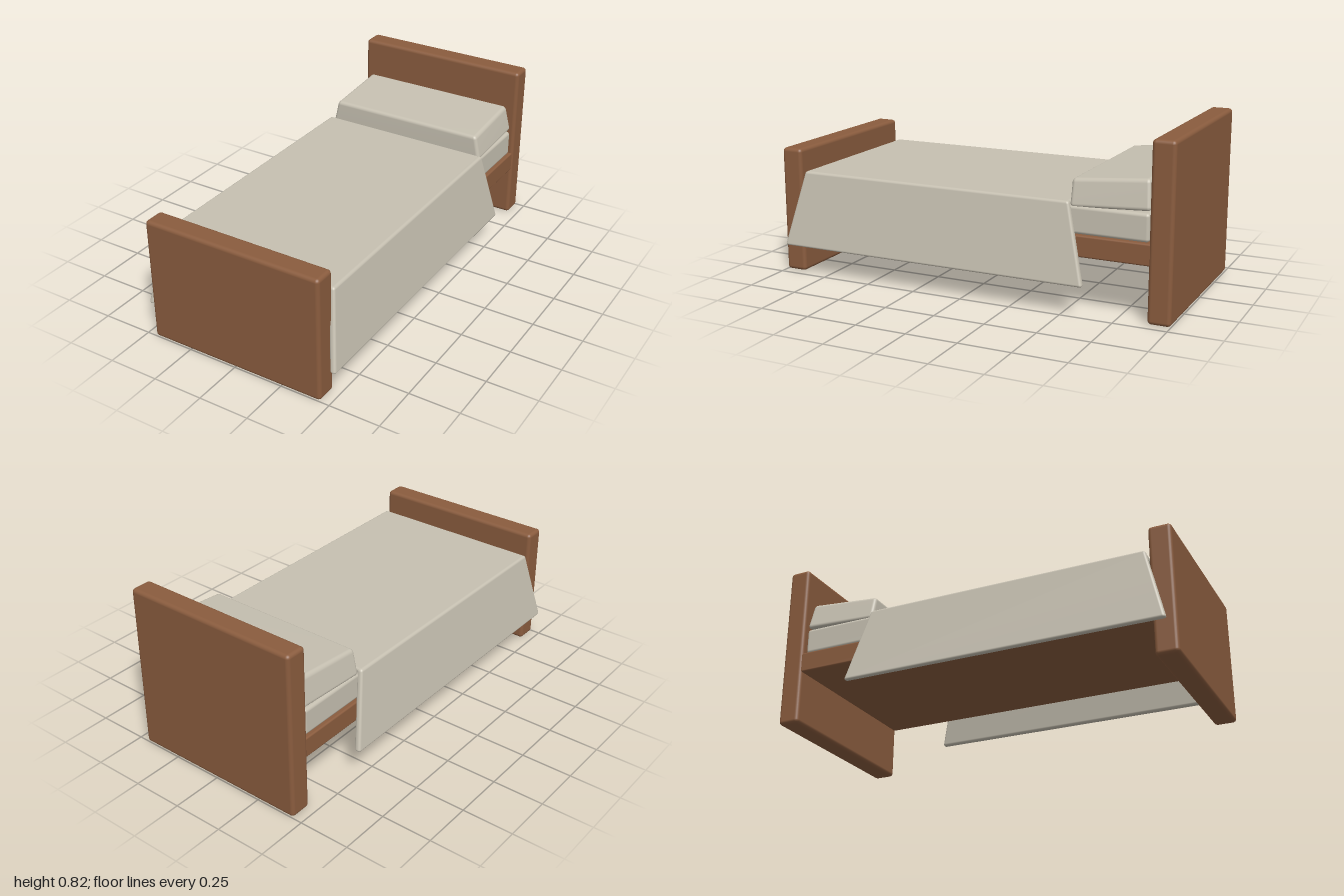
import * as THREE from 'three';
import { RoundedBoxGeometry } from 'three/addons/geometries/RoundedBoxGeometry.js';
import { mergeVertices } from 'three/addons/utils/BufferGeometryUtils.js';

export function createModel() {
  const bed = new THREE.Group();
  bed.name = 'bed';
  const wood = new THREE.MeshStandardMaterial({ name: 'wood', color: 0x8a5c3e });
  const cloth = new THREE.MeshStandardMaterial({ name: 'cloth', color: 0xc6c0b1 });

  // Rounded box given by its extents, optionally reshaped by a rule on each vertex
  function box(name, material, [x0, x1], [y0, y1], [z0, z1], radius, rule) {
    let geo = new RoundedBoxGeometry(x1 - x0, y1 - y0, z1 - z0, 3, radius);
    geo.translate((x0 + x1) / 2, (y0 + y1) / 2, (z0 + z1) / 2);
    if (rule) {
      const pos = geo.attributes.position;
      const v = new THREE.Vector3();
      for (let i = 0; i < pos.count; i++) {
        rule(v.fromBufferAttribute(pos, i));
        pos.setXYZ(i, v.x, v.y, v.z);
      }
      geo.deleteAttribute('normal');
      geo.deleteAttribute('uv');
      geo.clearGroups();
      geo = mergeVertices(geo, 1e-5);
      geo.computeVertexNormals();
    }
    const mesh = new THREE.Mesh(geo, material);
    mesh.name = name;
    bed.add(mesh);
  }

  // Wooden frame
  box('headboard', wood, [-0.455, 0.455], [0, 0.823], [-1, -0.892], 0.018);
  box('footboard', wood, [-0.455, 0.455], [0, 0.62], [0.892, 1], 0.018);
  box('bedBase', wood, [-0.449, 0.449], [0.262, 0.362], [-0.91, 0.91], 0.008);

  // Mattress
  box('mattress', cloth, [-0.436, 0.436], [0.362, 0.492], [-0.886, 0.86], 0.016);

  // Pillow: narrows upward and tilts up towards the headboard
  box('pillow', cloth, [-0.436, 0.436], [0, 0.13], [-0.89, -0.515], 0.018, (v) => {
    const up = v.y / 0.13;
    const back = (-0.515 - v.z) / 0.375;
    v.x *= 1 - 0.065 * up;
    v.z += 0.014 * up * back;
    v.y = 0.482 + 0.02 * back + up * (0.126 + 0.012 * back);
  });

  // Blanket: flat top with a flared flap on each side
  box('blanketTop', cloth, [-0.45, 0.45], [0.48, 0.512], [-0.515, 0.873], 0.012);
  const top = 0.512, bottom = 0.142, middle = 0.179;
  for (const side of [1, -1]) {
    const xs = side > 0 ? [0.42, 0.45] : [-0.45, -0.42];
    box(side > 0 ? 'blanketFlapLeft' : 'blanketFlapRight', cloth, xs, [bottom, top], [-0.515, 0.873], 0.012, (v) => {
      const down = (top - v.y) / (top - bottom);
      v.x += side * 0.062 * down;
      v.z = middle + (v.z - middle) * (1 + 0.135 * down);
    });
  }
  return bed;
}
